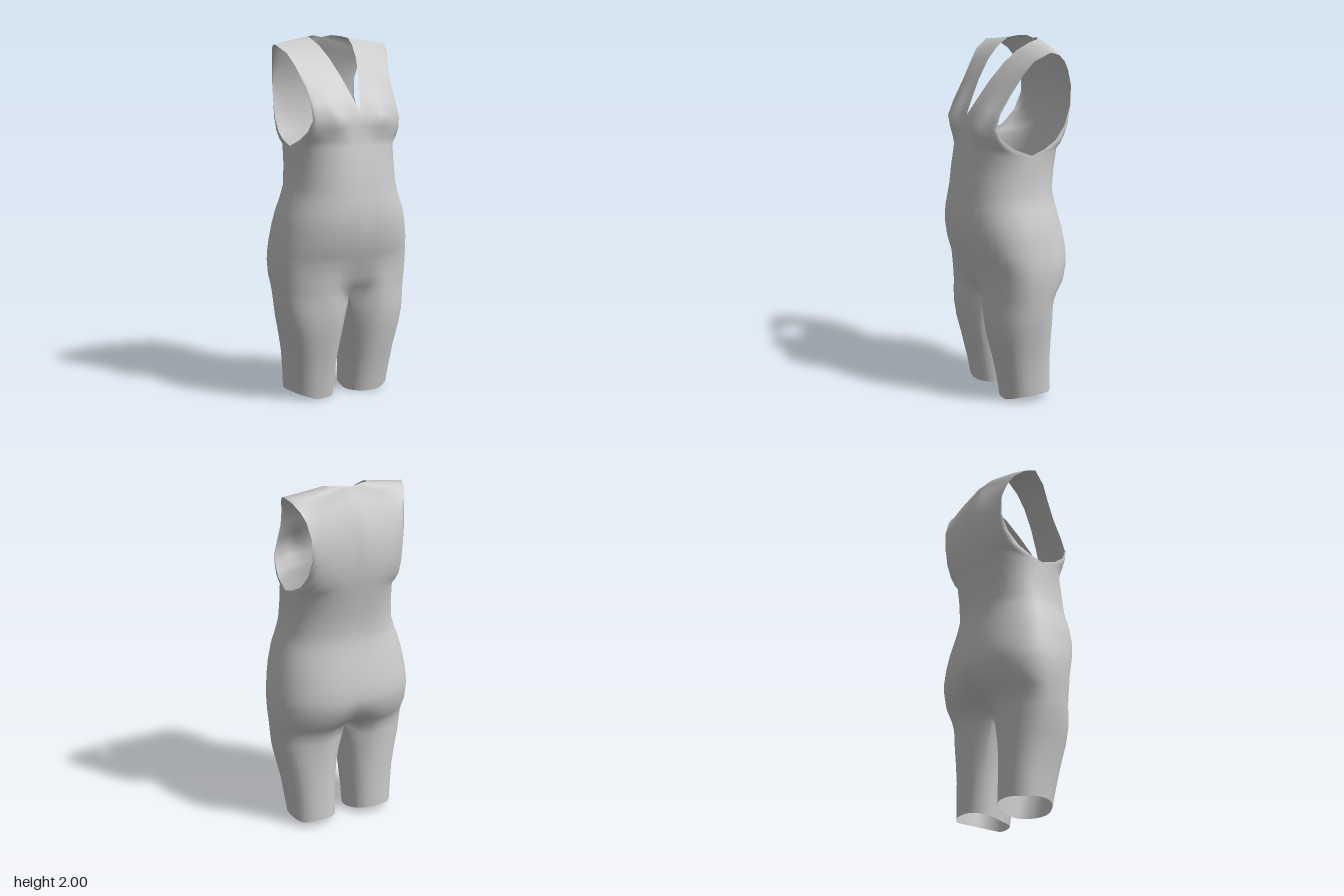
import * as THREE from 'three';
import { mergeVertices } from 'three/addons/utils/BufferGeometryUtils.js';

const COLS = 24, HALF = COLS / 2, P = 0.85;
const clamp = THREE.MathUtils.clamp, lerp = THREE.MathUtils.lerp;
const pow = v => Math.sign(v) * Math.abs(v) ** P;
const V = (x, y, z) => new THREE.Vector3(x, y, z);

// Cross-sections, hem to underarm: y, half width, front z, back z, inner leg x, roundness of leg
const sections = [
  [0, .312, .105, -.17, .045, 1], [.12, .32, .125, -.168, .042, 1],
  [.25, .335, .155, -.165, .035, .95], [.37, .36, .19, -.17, .024, .75],
  [.46, .38, .21, -.178, .014, .5], [.53, .39, .223, -.188, .006, .2],
  [.58, .396, .226, -.2], [.63, .4, .228, -.225], [.69, .407, .23, -.272],
  [.77, .41, .238, -.292], [.82, .406, .257, -.296], [.88, .398, .278, -.29],
  [.97, .382, .297, -.272], [1.05, .362, .3, -.25], [1.12, .335, .294, -.235],
  [1.19, .314, .285, -.225], [1.3, .306, .272, -.24], [1.41, .305, .25, -.262],
];
const CROTCH = 6;

// Panel edges in pairs: centre or neckline point, armhole point
const frontEdges = [
  [0, 1.41, .25, .305, 1.41, 0], [0, 1.46, .24, .298, 1.45, .1],
  [0, 1.52, .235, .285, 1.5, .165], [0, 1.6, .23, .272, 1.56, .195],
  [.025, 1.68, .185, .268, 1.64, .17], [.055, 1.78, .125, .275, 1.74, .11],
  [.085, 1.88, .05, .295, 1.84, .05], [.105, 1.945, -.02, .32, 1.91, 0],
  [.12, 1.985, -.09, .35, 1.955, -.08],
];
const backEdges = [
  [0, 1.41, -.262, .305, 1.41, 0], [0, 1.5, -.28, .298, 1.435, -.08],
  [0, 1.58, -.287, .288, 1.475, -.155], [0, 1.66, -.29, .275, 1.55, -.22],
  [0, 1.76, -.278, .265, 1.65, -.258], [0, 1.86, -.247, .27, 1.76, -.26],
  [0, 1.94, -.205, .285, 1.85, -.23], [0, 1.99, -.18, .305, 1.9, -.195],
  [.06, 2, -.172, .328, 1.935, -.15], [.105, 1.995, -.145, .342, 1.95, -.11],
  [.12, 1.985, -.09, .35, 1.955, -.08],
];

// Half ring of the trunk, front centre to back centre, with a dip between the legs
function trunkPoint([y, w, zf, zb], a) {
  const x = w * pow(Math.sin(a)), c = pow(Math.cos(a));
  const dip = 0.45 * clamp((0.78 - y) / 0.2, 0, 1) ** 2 * Math.exp(-((x / 0.09) ** 2));
  return V(x, y, (c > 0 ? zf * c : -zb * c) * (1 - dip));
}

// Full ring of one leg
function legPoint([y, w, zf, zb, xi], b) {
  return V((w + xi) / 2 + (w - xi) / 2 * pow(Math.sin(b)), y,
    (zf + zb) / 2 + (zf - zb) / 2 * pow(Math.cos(b)));
}

function liftHem(p, row) {
  if (row === 0) p.y += 0.04 * clamp(Math.max((p.x - 0.2) / 0.11, -p.z / 0.17), 0, 1);
  return p;
}

// Outside of the trunk and leg
function outerRow(s, row) {
  return Array.from({ length: COLS + 1 }, (_, j) => {
    const u = j / COLS, p = trunkPoint(s, u * Math.PI);
    if (row < CROTCH) {
      p.x = Math.max(p.x, s[4]);
      p.lerp(legPoint(s, (u * 1.5 - 0.25) * Math.PI), s[5]);
    }
    return liftHem(p, row);
  });
}

// Inside of the leg, back to front, meeting the other leg at the crotch
function innerRow(s, row) {
  const front = trunkPoint(s, 0), back = trunkPoint(s, Math.PI), n = 10;
  return Array.from({ length: n + 1 }, (_, j) => {
    const u = j / n, p = back.clone().lerp(front, u);
    if (row < CROTCH) {
      p.x = s[4];
      p.lerp(legPoint(s, (1.25 + u * 0.5) * Math.PI), s[5]);
    }
    return liftHem(p, row);
  });
}

// Panel rows between the centre or neckline and the armhole
function panelRows(edges, reverse) {
  return edges.map(([ix, iy, iz, ox, oy, oz]) => {
    const row = Array.from({ length: HALF + 1 }, (_, j) => {
      const a = j / HALF * Math.PI / 2, f = pow(Math.sin(a)), g = pow(Math.cos(a));
      return V(lerp(ix, ox, f), lerp(iy, oy, f), lerp(oz, iz, g));
    });
    return reverse ? row.reverse() : row;
  });
}

export function createModel() {
  const pos = [], index = [];

  // Adds a grid of points on both sides of the body
  function addGrid(rows) {
    for (const side of [1, -1]) {
      const base = pos.length / 3, n = rows[0].length;
      for (const row of rows) for (const p of row) {
        const bust = p.z > 0
          ? 0.04 * Math.exp(-(((p.x - 0.14) / 0.07) ** 2) - ((p.y - 1.56) / 0.07) ** 2) : 0;
        pos.push(side * p.x, p.y, p.z + bust);
      }
      for (let i = 0; i < rows.length - 1; i++) for (let j = 0; j < n - 1; j++) {
        const a = base + i * n + j, b = a + 1, c = b + n, d = a + n;
        if (side > 0) index.push(a, b, c, a, c, d);
        else index.push(a, c, b, a, d, c);
      }
    }
  }

  addGrid(sections.map(outerRow));
  addGrid(sections.slice(0, CROTCH + 1).map(innerRow));
  addGrid(panelRows(frontEdges, false));
  addGrid(panelRows(backEdges, true));

  let geometry = new THREE.BufferGeometry();
  geometry.setAttribute('position', new THREE.Float32BufferAttribute(pos, 3));
  geometry.setIndex(index);
  geometry = mergeVertices(geometry, 1e-4);
  geometry.computeVertexNormals();

  const suit = new THREE.Mesh(geometry,
    new THREE.MeshStandardMaterial({ color: 0xcccccc, side: THREE.DoubleSide }));
  suit.name = 'sleevelessSuit';
  const group = new THREE.Group();
  group.name = 'garment';
  group.add(suit);
  return group;
}
